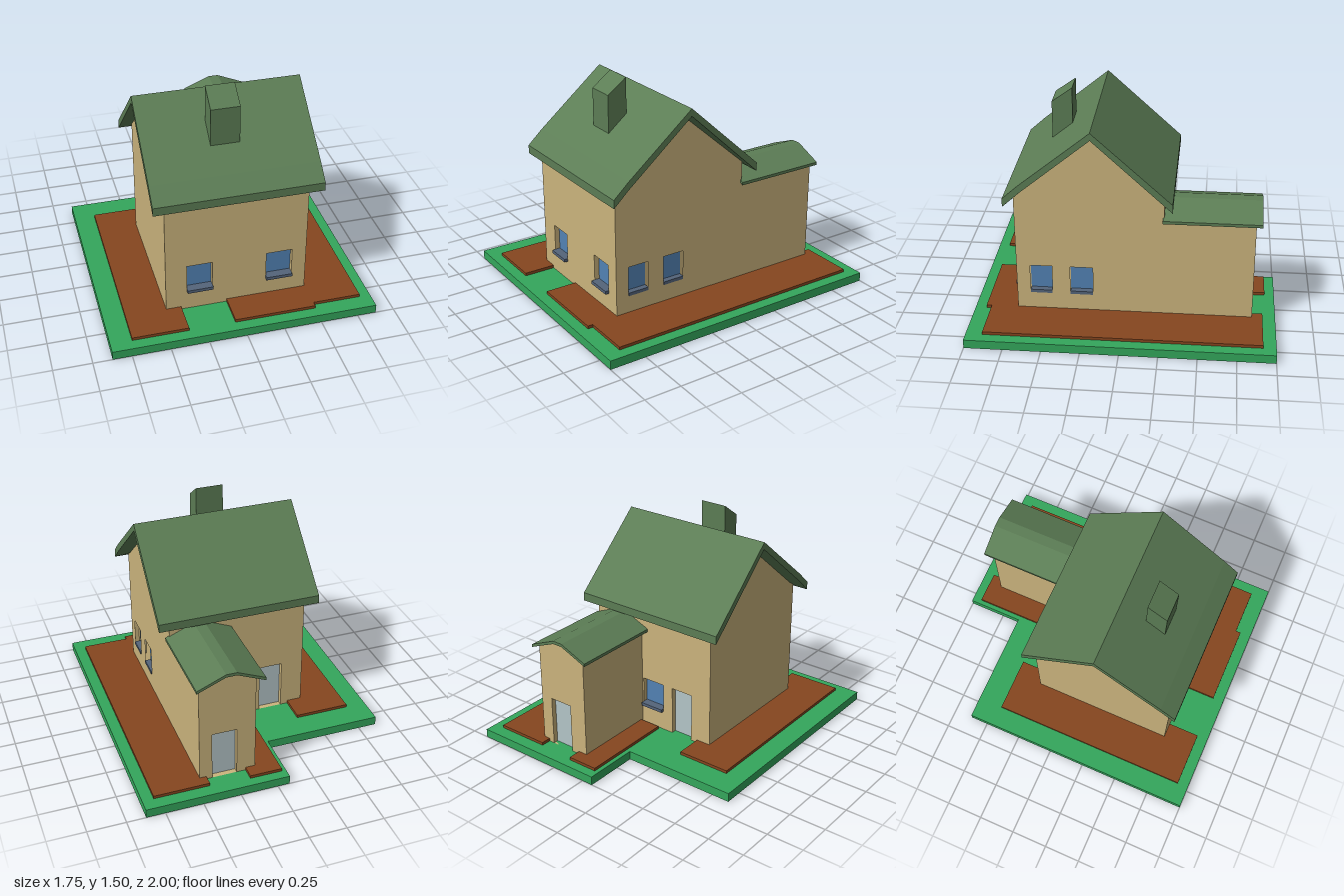
import * as THREE from 'three';

export function createModel() {
  const model = new THREE.Group();
  const mat = (name, color, side = THREE.FrontSide) => {
    const m = new THREE.MeshStandardMaterial({ color, side });
    m.name = name;
    return m;
  };
  const grass = mat('grass green', 0x34a75c);
  const soil = mat('soil brown', 0x86461f);
  const wall = mat('wall tan', 0xcbb47d);
  const tile = mat('roof green', 0x5c7d55);
  const glass = mat('window blue', 0x5282b4);
  const stone = mat('sill grey', 0x54647a);
  const paint = mat('door grey', 0xb4c5c8);

  const add = (name, geo, material, parent = model) => {
    const mesh = new THREE.Mesh(geo, material);
    mesh.name = name;
    parent.add(mesh);
    return mesh;
  };
  // Box from its limits on each axis
  const box = (name, x0, x1, y0, y1, z0, z1, material, parent) =>
    add(name, new THREE.BoxGeometry(x1 - x0, y1 - y0, z1 - z0)
      .translate((x0 + x1) / 2, (y0 + y1) / 2, (z0 + z1) / 2), material, parent);
  const vecs = pts => pts.map(([a, b]) => new THREE.Vector2(a, b));
  // Outline with rectangular openings [a0, a1, y0, y1]
  const extrude = (pts, holes, depth) => {
    const shape = new THREE.Shape(vecs(pts));
    for (const [a, b, c, d] of holes) shape.holes.push(new THREE.Path(vecs([[a, c], [a, d], [b, d], [b, c]])));
    return new THREE.ExtrudeGeometry(shape, { depth, bevelEnabled: false });
  };
  const alongZ = (name, pts, holes, z0, z1, material) =>
    add(name, extrude(pts, holes, z1 - z0).translate(0, 0, z0), material);
  // Points are (z, y)
  const alongX = (name, pts, holes, x0, x1, material) =>
    add(name, extrude(pts.map(([z, y]) => [-z, y]), holes.map(([a, b, c, d]) => [-b, -a, c, d]), x1 - x0)
      .rotateY(Math.PI / 2).translate(x0, 0, 0), material);

  // Lawn slab with a notched corner
  const lawn = [[-0.875, -1], [0.875, -1], [0.875, 1], [-0.08, 1], [-0.08, 0.62], [-0.875, 0.62]];
  add('lawn', extrude(lawn, [], 0.06).rotateX(-Math.PI / 2), grass);

  // Flower beds
  for (const [x0, x1, z0, z1] of [
    [-0.735, -0.365, -0.445, 0.925], [-0.06, 0.48, 0.6, 0.925],
    [0.43, 0.8, -0.915, 0.89], [-0.05, 0.165, -0.935, -0.28],
  ]) box('flowerBed', x0, x1, 0.05, 0.08, z0, z1, soil);

  // House: solid core behind wall panels with recessed openings
  const R = 0.04, X0 = -0.465, X1 = 0.475, ZF = 0.71, ZB = -0.26;
  const rect = (a, b, c, d) => [[a, c], [b, c], [b, d], [a, d]];
  const gable = (zf, zb) => [[zf, 0.04], [zf, 0.93], [0.66, 0.98], [0.2, 1.35], [zb, 0.93], [zb, 0.04]];
  alongX('houseCore', gable(ZF - R, ZB + R), [], X0 + 0.01, X1 - R, wall);
  alongX('leftWall', gable(ZF, ZB), [[0.475, 0.62, 0.2, 0.4], [0.205, 0.355, 0.2, 0.4]], X1 - R, X1, wall);
  alongX('rightWall', gable(ZF, ZB), [], X0, X0 + 0.012, wall);
  alongZ('frontWall', rect(X0, X1, 0.04, 0.93),
    [[-0.325, -0.155, 0.2, 0.4], [0.205, 0.38, 0.2, 0.4]], ZF - R, ZF, wall);
  alongZ('backWall', rect(X0, X1, 0.04, 0.93),
    [[-0.08, 0.09, 0.2, 0.4], [-0.315, -0.155, 0.06, 0.4]], ZB, ZB + R, wall);

  // Back porch with arched top
  const arch = [[0.05, 0.78], [0.14, 0.818], [0.24, 0.86], [0.31, 0.86], [0.41, 0.818], [0.5, 0.78]];
  const porch = [[0.1, 0.04], [X1, 0.04], [X1, 0.78], [0.41, 0.808], [0.31, 0.85], [0.24, 0.85], [0.14, 0.808], [0.1, 0.79]];
  alongZ('porchWalls', porch, [], -0.805, ZB + 0.02, wall);
  alongZ('porchBackWall', porch, [[0.225, 0.39, 0.06, 0.4]], -0.845, -0.805, wall);
  alongZ('porchRoof', [...arch, ...arch.map(([x, y]) => [x, y - 0.02]).reverse()], [], -0.885, -0.25, tile);

  // Windows and doors, set back in their openings
  const place = (name, x, z, turn) => {
    const g = new THREE.Group();
    g.name = name;
    g.position.set(x, 0, z);
    g.rotation.y = turn;
    model.add(g);
    return g;
  };
  const windowAt = (x, z, turn, w, proud) => {
    const g = place('window', x, z, turn);
    box('pane', -w / 2, w / 2, 0.2, 0.4, -R - 0.002, -R + 0.006, glass, g);
    box('sill', -w / 2, w / 2, 0.198, 0.22, -R, proud, stone, g);
  };
  windowAt(-0.24, ZF, 0, 0.17, 0.025);
  windowAt(0.2925, ZF, 0, 0.175, 0.025);
  windowAt(X1, 0.5475, Math.PI / 2, 0.145, 0.006);
  windowAt(X1, 0.28, Math.PI / 2, 0.15, 0.006);
  windowAt(0.005, ZB, Math.PI, 0.17, 0.025);
  const doorAt = (x, z, w) => {
    const g = place('door', x, z, Math.PI);
    box('doorLeaf', -w / 2, w / 2, 0.06, 0.4, -R - 0.002, -R + 0.006, paint, g);
  };
  doorAt(-0.235, ZB, 0.16);
  doorAt(0.3075, -0.845, 0.165);

  // Main roof: sections along x, the underside sinking towards the walls
  const outer = [[0.765, 0.925], [0.66, 1.02], [0.2, 1.395], [-0.315, 0.925]];
  const inner = [[0.765, 0.868], [0.66, 0.965], [0.2, 1.345], [-0.315, 0.868]];
  const sections = [[-0.545, 0], [X0, 0.028], [X1, 0.028], [0.558, 0]].map(([x, sink]) => [
    ...outer.map(([z, y]) => [x, y, z]),
    ...inner.map(([z, y], i) => [x, y - (i === 1 || i === 2 ? sink : 0), z]).reverse(),
  ]);
  const pos = [];
  const quad = (a, b, c, d) => pos.push(...a, ...b, ...c, ...a, ...c, ...d);
  for (let s = 0; s < 3; s++) {
    const p = sections[s], q = sections[s + 1];
    for (let i = 0; i < 8; i++) quad(p[i], q[i], q[(i + 1) % 8], p[(i + 1) % 8]);
  }
  for (let i = 0; i < 3; i++) {
    const p = sections[0], q = sections[3];
    quad(p[i], p[i + 1], p[6 - i], p[7 - i]);
    quad(q[7 - i], q[6 - i], q[i + 1], q[i]);
  }
  const roof = new THREE.BufferGeometry();
  roof.setAttribute('position', new THREE.Float32BufferAttribute(pos, 3));
  roof.computeVertexNormals();
  add('mainRoof', roof, tile);

  // Chimney with slanted top
  alongX('chimney', [[0.505, 1.1], [0.505, 1.4], [0.37, 1.497], [0.37, 1.2]], [], -0.115, 0.075, tile);

  return model;
}
